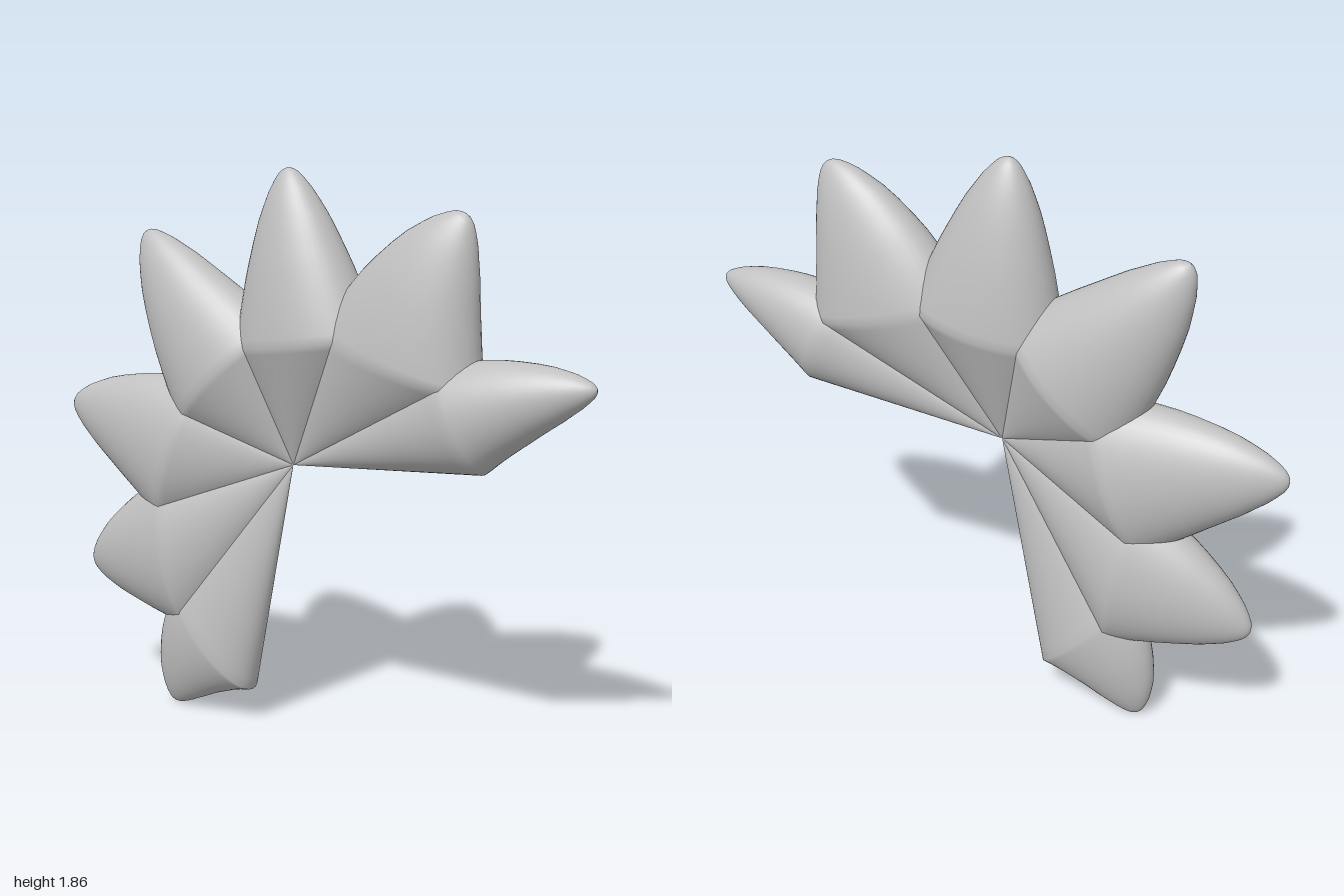
import * as THREE from 'three';

// Side-plane points are Vector2(z, y)
const P = (z, y) => new THREE.Vector2(z, y);
const HUB = P(-0.05, 0.92);

// Points along the rim where neighbouring petals meet, from front to bottom
const RIM = [P(0.65, 0.98), P(0.53, 1.24), P(0.17, 1.345), P(-0.16, 1.30),
  P(-0.41, 1.07), P(-0.53, 0.74), P(-0.47, 0.39), P(-0.22, 0.12)];
const TIPS = [P(1.0, 1.27), P(0.57, 1.745), P(-0.07, 1.865), P(-0.65, 1.645),
  P(-1.0, 1.03), P(-0.925, 0.46), P(-0.56, 0.008)];
const THICK = [0.13, 0.147, 0.155, 0.155, 0.145, 0.138, 0.11];

// Petal outline: [distance rim to tip, width, thickness]
const PROFILE = [[0, 1, 1], [0.05, 0.97, 0.99], [0.15, 0.9, 0.95], [0.27, 0.82, 0.89], [0.4, 0.73, 0.81],
  [0.5, 0.65, 0.74], [0.62, 0.55, 0.64], [0.72, 0.46, 0.54], [0.8, 0.37, 0.45], [0.87, 0.29, 0.35],
  [0.93, 0.2, 0.25], [0.97, 0.13, 0.16], [0.99, 0.07, 0.09], [1, 0.002, 0.002]];
const SIDES = 40;

// One petal: a cone widening from the hub to the rim, then a rounded taper to the tip
function petalGeometry(i) {
  const last = TIPS.length - 1;
  const r0 = RIM[i], r1 = RIM[i + 1], tip = TIPS[i];
  const chord = r1.clone().sub(r0), len = chord.length();
  const isEnd = i === 0 || i === last;
  const half = len * (isEnd ? 0.62 : 0.79);
  const mid = i === 0 ? 0.62 : i === last ? 0.38 : 0.5;
  const base = r0.clone().addScaledVector(chord, mid);
  const out = P(chord.y, -chord.x).normalize();
  const bend = base.clone().addScaledVector(out, 0.5 * base.distanceTo(tip));
  const axis = new THREE.QuadraticBezierCurve(base, bend, tip);

  // Cross-sections: centre, facing direction, half width, half thickness
  const rings = [0.002, 0.35, 0.7, 0.95].map(s =>
    ({ c: HUB.clone().lerp(base, s), f: out, w: half * s, t: THICK[i] * s }));
  for (const [s, w, t] of PROFILE)
    rings.push({ c: axis.getPoint(s), f: axis.getTangent(s), w: half * w, t: THICK[i] * t });

  const pos = [], index = [];
  for (const { c, f, w, t } of rings) {
    for (let j = 0; j < SIDES; j++) {
      const a = j / SIDES * Math.PI * 2;
      const u = Math.cos(a) * w;
      pos.push(Math.sin(a) * t, c.y - f.x * u, c.x + f.y * u);
    }
  }
  for (let k = 0; k < rings.length - 1; k++) {
    for (let j = 0; j < SIDES; j++) {
      const n = (j + 1) % SIDES;
      const a = k * SIDES + j, b = k * SIDES + n;
      index.push(a, b, b + SIDES, a, b + SIDES, a + SIDES);
    }
  }
  const g = new THREE.BufferGeometry();
  g.setAttribute('position', new THREE.Float32BufferAttribute(pos, 3));
  g.setIndex(index);
  g.computeVertexNormals();
  return g;
}

export function createModel() {
  const grey = new THREE.MeshStandardMaterial({ color: 0xc0c0c0 });
  grey.name = 'pale grey';
  const group = new THREE.Group();
  group.name = 'petalCrest';
  TIPS.forEach((_, i) => {
    const petal = new THREE.Mesh(petalGeometry(i), grey);
    petal.name = `petal${i + 1}`;
    group.add(petal);
  });
  return group;
}
